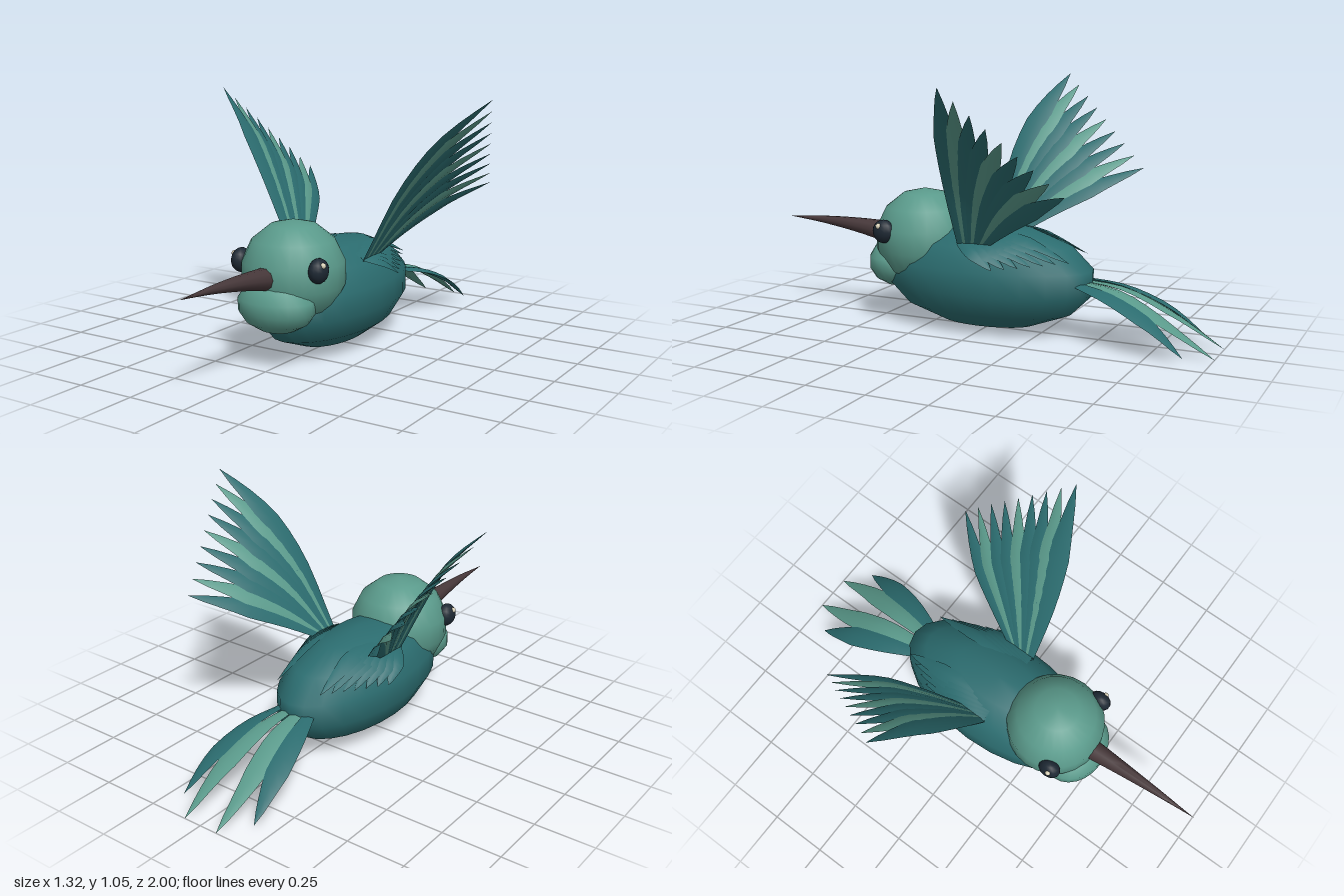
import * as THREE from 'three';
import { toCreasedNormals } from 'three/addons/utils/BufferGeometryUtils.js';

const mat = (name, color) => new THREE.MeshStandardMaterial({ name, color });
const V = (p) => new THREE.Vector3(...p);
const lerpPoint = (a, b, t) => a.map((v, i) => v + (b[i] - v) * t);

// Sweep an elliptical cross-section along a curve; side gives the width direction
function loft(points, side, profile, halfWidth, halfThick, sides, steps) {
  const curve = new THREE.CatmullRomCurve3(points.map(V));
  const pos = [], index = [];
  for (let i = 0; i <= steps; i++) {
    const t = i / steps, c = curve.getPoint(t), T = curve.getTangent(t);
    const W = V(side).addScaledVector(T, -V(side).dot(T)).normalize();
    const N = new THREE.Vector3().crossVectors(T, W);
    const s = Math.max(profile(t), 0.01);
    for (let j = 0; j < sides; j++) {
      const a = (j / sides) * Math.PI * 2;
      const p = c.clone()
        .addScaledVector(W, Math.cos(a) * halfWidth * s)
        .addScaledVector(N, Math.sin(a) * halfThick * s);
      pos.push(p.x, p.y, p.z);
      if (i < steps) {
        const k = (j + 1) % sides, r = i * sides, q = r + sides;
        index.push(r + j, r + k, q + j, r + k, q + k, q + j);
      }
    }
  }
  const geo = new THREE.BufferGeometry();
  geo.setAttribute('position', new THREE.Float32BufferAttribute(pos, 3));
  geo.setIndex(index);
  return toCreasedNormals(geo, 0.9);
}

// Narrow quill, widest past the middle, pointed tip
const featherShape = (t) =>
  t < 0.6 ? 0.4 + 0.6 * Math.sin((t / 0.6) * Math.PI / 2) : Math.pow((1 - t) / 0.4, 0.75);

export function createModel() {
  const bird = new THREE.Group();
  bird.name = 'bird';
  const teal = mat('deep teal', 0x2b6c6f);
  const sage = mat('light sage teal', 0x5a9a8b);
  const brown = mat('beak brown', 0x47383a);
  const dark = mat('eye dark', 0x1d2833);
  const cream = mat('eye glint cream', 0xd9d1b8);

  const add = (parent, name, geo, material) => {
    const mesh = new THREE.Mesh(geo, material);
    mesh.name = name;
    parent.add(mesh);
    return mesh;
  };
  const ellipsoid = (name, material, center, radii, w = 24, h = 7) => {
    const mesh = add(bird, name, new THREE.SphereGeometry(1, w, h), material);
    mesh.position.set(...center);
    mesh.scale.set(...radii);
  };
  const feather = (parent, name, material, points, side, width, thick) =>
    add(parent, name, loft(points, side, featherShape, width, thick, 4, 10), material);

  // Body, head and throat
  ellipsoid('body', teal, [0, 0.24, 0], [0.241, 0.226, 0.482]);
  ellipsoid('head', sage, [0, 0.375, 0.3], [0.215, 0.215, 0.215]);
  ellipsoid('throat', sage, [0, 0.265, 0.42], [0.17, 0.113, 0.13]);

  // Long tapering beak
  add(bird, 'beak', loft([[0, 0.38, 0.47], [0, 0.4, 0.64], [0, 0.412, 0.82], [0, 0.415, 1]],
    [1, 0, 0], (t) => 1 - t, 0.047, 0.049, 10, 12), brown);

  for (const s of [1, -1]) {
    const label = s > 0 ? 'left' : 'right';
    const flip = (p) => [p[0] * s, p[1], p[2]];
    const group = (name) => {
      const g = new THREE.Group();
      g.name = label + name;
      bird.add(g);
      return g;
    };

    // Eye with glint
    ellipsoid(label + 'Eye', dark, [0.185 * s, 0.42, 0.4], [0.037, 0.05, 0.05], 14, 10);
    ellipsoid(label + 'EyeGlint', cream, [0.212 * s, 0.445, 0.41], [0.012, 0.012, 0.012], 10, 8);

    // Raised wing: nine feathers fanned between a leading and a trailing curve
    const wing = group('Wing');
    const lead = [[0.17, 0.38, 0.035], [0.325, 0.68, 0.005], [0.48, 0.89, -0.045], [0.66, 1.06, -0.11]];
    const trail = [[0.17, 0.39, -0.05], [0.25, 0.5, -0.2], [0.34, 0.59, -0.36], [0.47, 0.665, -0.53]];
    for (let i = 0; i < 9; i++) {
      const path = lead.map((p, k) => flip(lerpPoint(p, trail[k], i / 8)));
      feather(wing, 'wingFeather', i % 3 === 1 ? sage : teal, path,
        flip([0.2, 0.32, 0.4]), 0.052 - 0.0012 * i, 0.009);
    }

    // Short covert feathers folded over the back and flank
    const coverts = group('Coverts');
    const outer = [[0.17, 0.4, 0.05], [0.215, 0.375, -0.03], [0.245, 0.31, -0.13]];
    const inner = [[0.1, 0.43, 0.05], [0.11, 0.425, -0.18], [0.11, 0.34, -0.41]];
    for (let i = 0; i < 7; i++) {
      const path = outer.map((p, k) => flip(lerpPoint(p, inner[k], i / 6)));
      feather(coverts, 'covertFeather', teal, path,
        flip([0.75, -0.5 + i * 0.04, 0.2]), 0.035, 0.01);
    }

    // Tail: pale inner feather and dark outer feather
    const tail = group('Tail');
    feather(tail, 'innerTailFeather', sage,
      [[0.02, 0.25, -0.4], [0.045, 0.22, -0.6], [0.075, 0.125, -0.8], [0.08, 0.01, -1]].map(flip),
      flip([1, -0.1, 0]), 0.046, 0.01);
    feather(tail, 'outerTailFeather', teal,
      [[0.06, 0.25, -0.4], [0.115, 0.215, -0.58], [0.155, 0.135, -0.76], [0.18, 0.03, -0.9]].map(flip),
      flip([1, -0.25, 0]), 0.046, 0.01);
  }
  return bird;
}
